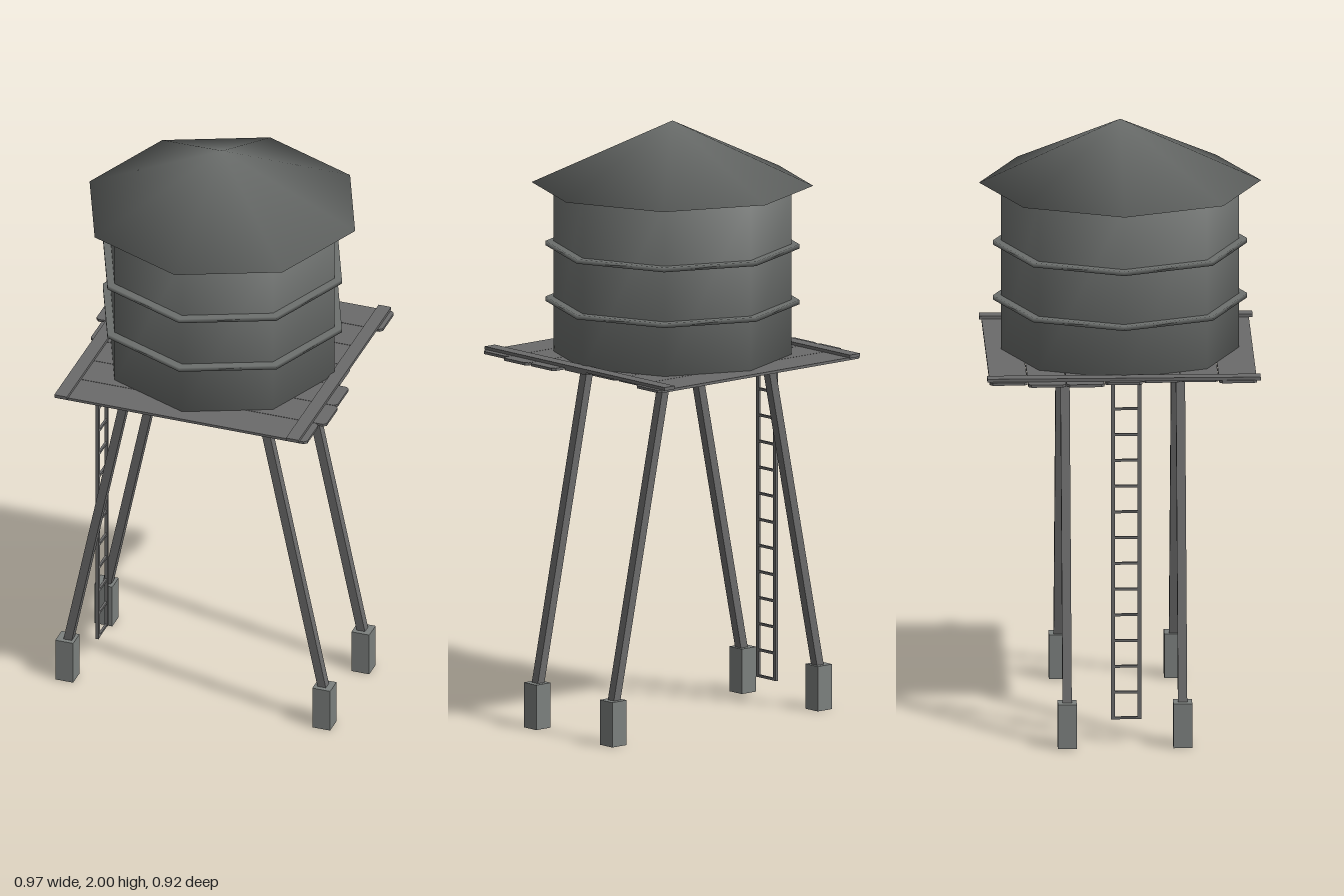
import * as THREE from 'three';
import { mergeVertices } from 'three/addons/utils/BufferGeometryUtils.js';

const paint = (color) => new THREE.MeshStandardMaterial({ color });
const metal = paint(0x6c6f6d);
const timber = paint(0x6b6b6b);
const concrete = paint(0x7c807e);
const CX = 0.015; // tank axis

function add(parent, name, geometry, material, x, y, z) {
  const mesh = new THREE.Mesh(geometry, material);
  mesh.name = name;
  mesh.position.set(x, y, z);
  parent.add(mesh);
  return mesh;
}

// Closed eight-sided drum or cone, shaded smoothly over all its edges
function smoothDrum(topRadius, bottomRadius, height) {
  const g = new THREE.CylinderGeometry(topRadius, bottomRadius, height, 8);
  g.deleteAttribute('uv');
  g.deleteAttribute('normal');
  const merged = mergeVertices(g);
  merged.computeVertexNormals();
  return merged;
}

// Flat board along x with clipped corners
function plankGeometry(x0, x1, z0, z1, thickness) {
  const c = 0.01;
  const shape = new THREE.Shape([
    [x0 + c, z0], [x1 - c, z0], [x1, z0 + c], [x1, z1 - c],
    [x1 - c, z1], [x0 + c, z1], [x0, z1 - c], [x0, z0 + c],
  ].map(([x, z]) => new THREE.Vector2(x, z)));
  return new THREE.ExtrudeGeometry(shape, { depth: thickness, bevelEnabled: false })
    .rotateX(Math.PI / 2);
}

// Leg leaning along x, with level top and bottom ends
function legGeometry(bottomX, topX, y0, y1) {
  const g = new THREE.BoxGeometry(0.029, y1 - y0, 0.03);
  const p = g.attributes.position;
  for (let i = 0; i < p.count; i++) {
    const t = p.getY(i) > 0 ? 1 : 0;
    p.setX(i, p.getX(i) + THREE.MathUtils.lerp(bottomX, topX, t));
  }
  g.computeVertexNormals();
  return g;
}

export function createModel() {
  const model = new THREE.Group();
  model.name = 'waterTower';

  // Eight-sided tank, hoops and conical roof
  const tank = new THREE.Group();
  tank.name = 'tank';
  model.add(tank);
  add(tank, 'tankWall', smoothDrum(0.39, 0.39, 0.57), metal, CX, 1.506, 0);
  for (const y of [1.399, 1.585]) {
    add(tank, 'hoop', smoothDrum(0.416, 0.416, 0.015), metal, CX, y, 0);
  }
  add(tank, 'roof', smoothDrum(0, 0.462, 0.212), metal, CX, 1.894, 0);

  // Deck of uneven planks held by two cross battens
  const deck = new THREE.Group();
  deck.name = 'platform';
  model.add(deck);
  const ends = [
    [-0.421, 0.456], [-0.45, 0.425], [-0.45, 0.43], [-0.425, 0.44],
    [-0.4, 0.479], [-0.395, 0.486], [-0.414, 0.464],
  ];
  ends.forEach(([x0, x1], i) => {
    const z = -0.441 + i * 0.1253;
    add(deck, 'plank', plankGeometry(x0, x1, z, z + 0.1235, 0.009), timber, 0, 1.224, 0);
  });
  for (const x of [-0.387, 0.419]) {
    add(deck, 'batten', new THREE.BoxGeometry(0.044, 0.011, 0.895), timber, x, 1.2285, -0.001);
  }

  // Splayed legs on block footings
  for (const sx of [-1, 1]) {
    for (const sz of [-1, 1]) {
      const z = sz * 0.189;
      add(model, 'leg', legGeometry(-0.008 + sx * 0.446, -0.01 + sx * 0.22, 0.13, 1.217), timber, 0, 0.6735, z);
      add(model, 'footing', new THREE.BoxGeometry(0.062, 0.15, 0.062), concrete, -0.009 + sx * 0.447, 0.075, z);
    }
  }

  // Ladder
  const ladder = new THREE.Group();
  ladder.name = 'ladder';
  ladder.position.set(-0.401, 0, 0.006);
  model.add(ladder);
  for (const s of [-1, 1]) {
    add(ladder, 'ladderRail', new THREE.BoxGeometry(0.01, 1.14, 0.013), timber, 0, 0.648, s * 0.043);
  }
  for (let i = 0; i < 13; i++) {
    add(ladder, 'rung', new THREE.BoxGeometry(0.008, 0.008, 0.086), timber, 0, 0.082 + i * 0.0872, 0);
  }

  return model;
}
